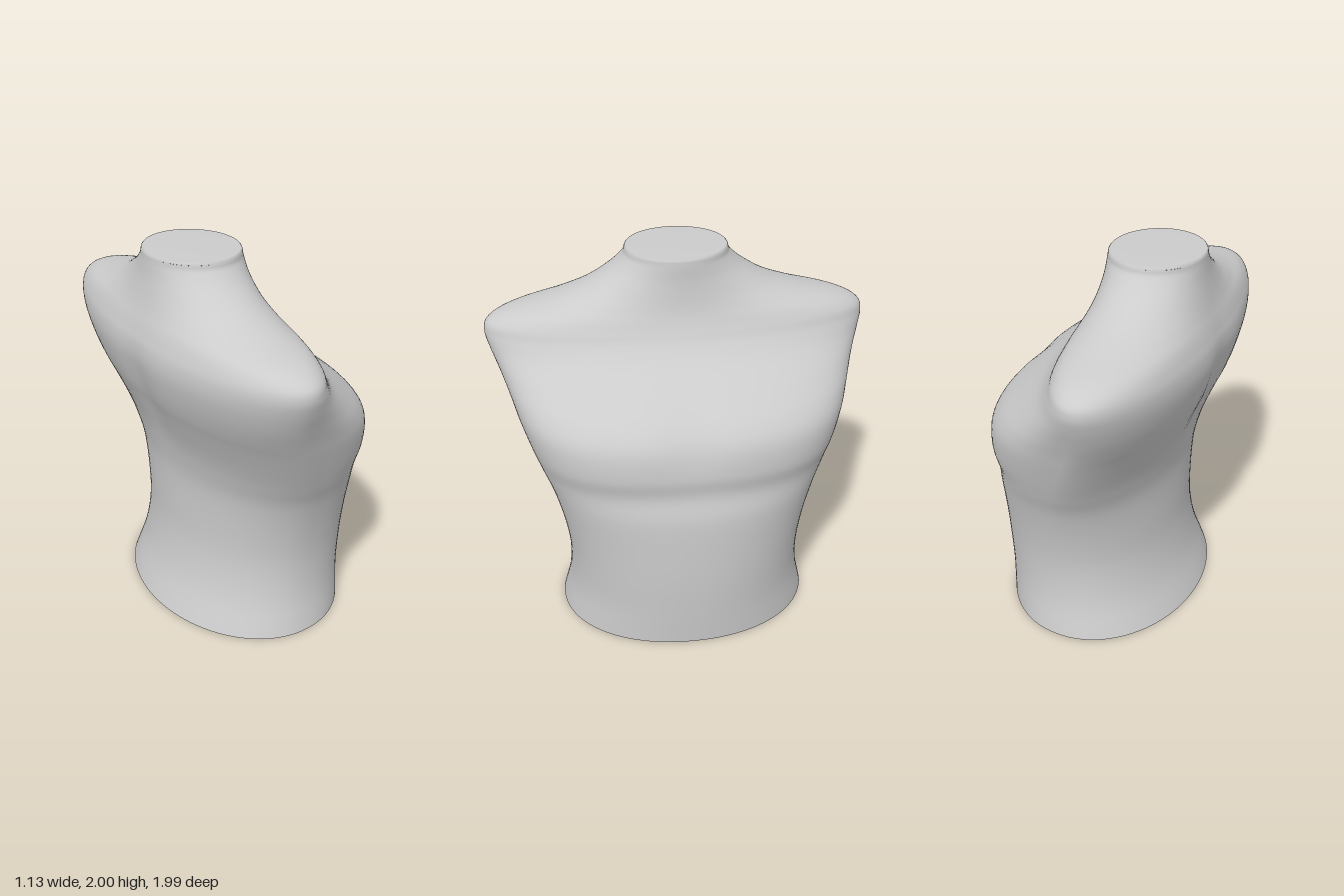
import * as THREE from 'three';

// Horizontal sections: y, back x, front x, half width, x of widest point, front exponent
const SECTIONS = [
  [0.00, -0.50, 0.545, 0.69, 0.02, 2.1],
  [0.20, -0.42, 0.557, 0.645, 0.05, 2.1],
  [0.40, -0.378, 0.565, 0.635, 0.07, 2.15],
  [0.60, -0.368, 0.565, 0.66, 0.07, 2.2],
  [0.80, -0.37, 0.557, 0.71, 0.05, 2.3],
  [0.94, -0.392, 0.53, 0.765, 0.01, 2.45],
  [1.06, -0.425, 0.54, 0.81, -0.04, 2.6],
  [1.20, -0.48, 0.52, 0.86, -0.10, 2.6],
  [1.30, -0.522, 0.455, 0.895, -0.15, 2.5],
  [1.40, -0.552, 0.335, 0.935, -0.19, 2.3],
  [1.50, -0.57, 0.20, 0.975, -0.21, 2.1],
  [1.58, -0.566, 0.125, 0.995, -0.22, 2.0],
  [1.64, -0.548, 0.09, 0.975, -0.22, 2.0],
  [1.69, -0.53, 0.068, 0.88, -0.22, 2.0],
  [1.74, -0.51, 0.052, 0.68, -0.22, 2.0],
  [1.80, -0.49, 0.04, 0.50, -0.22, 2.0],
  [1.88, -0.468, 0.03, 0.36, -0.22, 2.0],
  [1.95, -0.455, 0.027, 0.28, -0.215, 2.0],
  [1.985, -0.45, 0.024, 0.264, -0.215, 2.0],
];
const STEPS = 110, SIDES = 96;

const spline = (cols) => new THREE.CatmullRomCurve3(
  SECTIONS.map((s) => new THREE.Vector3(...cols.map((c) => s[c]))), false, 'catmullrom', 0.5);

// Gentle bump centred on zero
const bump = (d, width) => Math.exp(-((d / width) ** 2));

function torsoGeometry() {
  const sides = spline([0, 1, 2]), widths = spline([3, 4, 5]);
  const positions = [], indices = [];
  for (let i = 0; i <= STEPS; i++) {
    const { x: y, y: back, z: front } = sides.getPoint(i / STEPS);
    const { x: half, y: mid, z: power } = widths.getPoint(i / STEPS);
    for (let j = 0; j < SIDES; j++) {
      const a = (j / SIDES) * Math.PI * 2, c = Math.cos(a), s = Math.sin(a);
      const e = c > 0 ? 2 / power : 1;
      const z = half * Math.sign(s) * Math.abs(s) ** e;
      let x = mid + (c > 0 ? (front - mid) * c ** e : (mid - back) * c);
      // Shallow grooves along the breastbone and spine
      if (c > 0) x -= 0.018 * bump(z, 0.12) * bump(y - 1.25, 0.16);
      else x += 0.02 * bump(z, 0.12) * bump(y - 1.35, 0.3);
      positions.push(x, y, z);
      if (i < STEPS) {
        const k = (j + 1) % SIDES, p = i * SIDES + j, q = i * SIDES + k;
        indices.push(p, p + SIDES, q, q, p + SIDES, q + SIDES);
      }
    }
  }
  const geometry = new THREE.BufferGeometry();
  geometry.setAttribute('position', new THREE.Float32BufferAttribute(positions, 3));
  geometry.setIndex(indices);
  geometry.computeVertexNormals();
  return geometry;
}

export function createModel() {
  const group = new THREE.Group();
  group.name = 'torsoForm';
  const material = new THREE.MeshStandardMaterial({ color: 0xcccccc, side: THREE.DoubleSide });

  // Hollow body, open at the waist
  const torso = new THREE.Mesh(torsoGeometry(), material);
  torso.name = 'torso';

  // Flat neck cap with a softened rim
  const profile = [[1, 0], [0.99, 0.009], [0.965, 0.015], [0, 0.015]];
  const cap = new THREE.Mesh(
    new THREE.LatheGeometry(profile.map(([r, y]) => new THREE.Vector2(r, y)), SIDES), material);
  cap.name = 'neckCap';
  cap.scale.set(0.237, 1, 0.264);
  cap.position.set(-0.213, 1.985, 0);

  group.add(torso, cap);
  return group;
}
